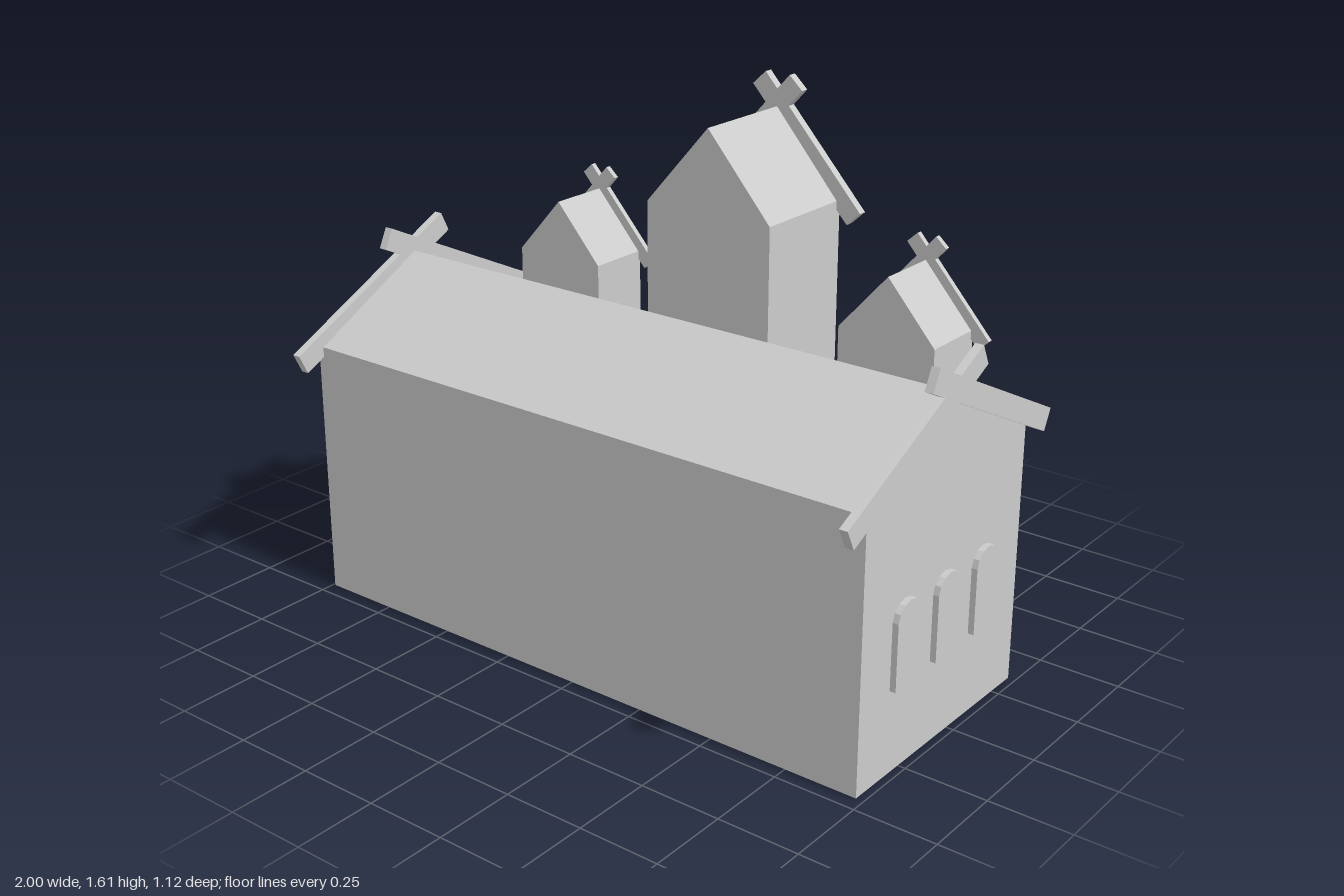
import * as THREE from 'three';

const material = new THREE.MeshStandardMaterial({ color: 0xcccccc, flatShading: true });
const shellMaterial = new THREE.MeshStandardMaterial({ color: 0xcccccc, flatShading: true, side: THREE.DoubleSide });

// Flat panel fanned out from its first corner
function panel(name, corners) {
  const positions = [];
  for (let i = 1; i < corners.length - 1; i++) positions.push(...corners[0], ...corners[i], ...corners[i + 1]);
  const geometry = new THREE.BufferGeometry();
  geometry.setAttribute('position', new THREE.Float32BufferAttribute(positions, 3));
  geometry.computeVertexNormals();
  const mesh = new THREE.Mesh(geometry, shellMaterial);
  mesh.name = name;
  return mesh;
}

// Open-bottomed house shell along z. With a notch [y, z], the inner gable
// stops at height y and the side walls below it begin at z.
function houseShell(name, half, base, eave, ridge, z0, z1, notch) {
  const group = new THREE.Group();
  group.name = name;
  const gable = (bottom, z) => [
    [-half, bottom, z], [half, bottom, z], [half, eave, z], [0, ridge, z], [-half, eave, z]
  ];
  group.add(panel('outerGable', gable(base, z1)));
  group.add(panel('innerGable', gable(notch ? notch[0] : base, z0).reverse()));
  const start = notch ? [[half, notch[0], notch[1]], [half, notch[0], z0]] : [[half, base, z0]];
  const end = notch ? [[half, base, notch[1]]] : [];
  const wall = [...start, [half, eave, z0], [half, eave, z1], [half, base, z1], ...end];
  const slope = [[half, eave, z1], [half, eave, z0], [0, ridge, z0], [0, ridge, z1]];
  const mirror = ([first, ...rest]) => [first, ...rest.reverse()].map(([x, y, z]) => [-x, y, z]);
  group.add(
    panel('sideWall', wall), panel('sideWall', mirror(wall)),
    panel('roofSlope', slope), panel('roofSlope', mirror(slope))
  );
  return group;
}

// Raised panel with an arched top
function archPanel(name, x, half, bottom, spring, top, z0, z1) {
  const shape = new THREE.Shape();
  shape.moveTo(x - half, bottom);
  shape.lineTo(x + half, bottom);
  shape.lineTo(x + half, spring);
  shape.absellipse(x, spring, half, top - spring, 0, Math.PI, false, 0);
  shape.closePath();
  const geometry = new THREE.ExtrudeGeometry(shape, { depth: z1 - z0, bevelEnabled: false, curveSegments: 3 });
  geometry.translate(0, 0, z0);
  const mesh = new THREE.Mesh(geometry, material);
  mesh.name = name;
  return mesh;
}

// Pair of crossed boards along the gable, from low end to beyond the ridge
function crossedBoards(low, high, width, z0, z1) {
  const group = new THREE.Group();
  group.name = 'crossedGableBoards';
  const dx = high[0] - low[0], dy = high[1] - low[1];
  for (const side of [1, -1]) {
    const board = new THREE.Mesh(new THREE.BoxGeometry(Math.hypot(dx, dy), width, z1 - z0), material);
    board.name = 'gableBoard';
    board.position.set(side * (low[0] + high[0]) / 2, (low[1] + high[1]) / 2, (z0 + z1) / 2);
    board.rotation.z = side * Math.atan(dy / dx);
    group.add(board);
  }
  return group;
}

export function createModel() {
  const model = new THREE.Group();
  model.name = 'gabledHall';

  // Long hall, ridge running along x
  const hall = houseShell('hall', 0.4, 0.007, 0.813, 1.02, -0.982, 0.982);
  hall.rotation.y = Math.PI / 2;
  hall.position.z = 0.062;
  model.add(hall);

  // Both hall ends: crossed boards and three arched windows
  for (const side of [1, -1]) {
    const end = new THREE.Group();
    end.name = side > 0 ? 'leftGableEnd' : 'rightGableEnd';
    end.rotation.y = side * Math.PI / 2;
    end.position.z = 0.047;
    end.add(crossedBoards([0.497, 0.78], [-0.123, 1.083], 0.068, 0.964, 0.99));
    for (const z of [0.26, 0.06, -0.14]) {
      end.add(archPanel('hallWindow', side * (0.047 - z), 0.058, 0.26, 0.46, 0.51, 0.95, 1));
    }
    model.add(end);
  }

  // Entrance tower at the back, facing -z
  const tower = new THREE.Group();
  tower.name = 'entranceTower';
  tower.rotation.y = Math.PI;
  tower.add(
    houseShell('towerBody', 0.222, 0, 1.26, 1.513, 0.178, 0.534, [0.82, 0.24]),
    crossedBoards([0.282, 1.214], [-0.066, 1.592], 0.062, 0.518, 0.545),
    archPanel('door', 0, 0.126, 0.002, 0.35, 0.43, 0.505, 0.557),
    archPanel('towerWindow', 0, 0.06, 0.77, 0.96, 1.02, 0.505, 0.548)
  );
  model.add(tower);

  // Two smaller side towers
  for (const x of [-0.613, 0.592]) {
    const turret = new THREE.Group();
    turret.name = x > 0 ? 'leftSideTower' : 'rightSideTower';
    turret.rotation.y = Math.PI;
    turret.position.x = x;
    turret.add(
      houseShell('sideTowerBody', 0.158, 0, 0.998, 1.176, 0.223, 0.429, [0.82, 0.24]),
      crossedBoards([0.199, 0.962], [-0.047, 1.235], 0.045, 0.42, 0.437),
      archPanel('sideTowerWindow', 0, 0.045, 0.72, 0.85, 0.89, 0.4, 0.446)
    );
    model.add(turret);
  }
  return model;
}
